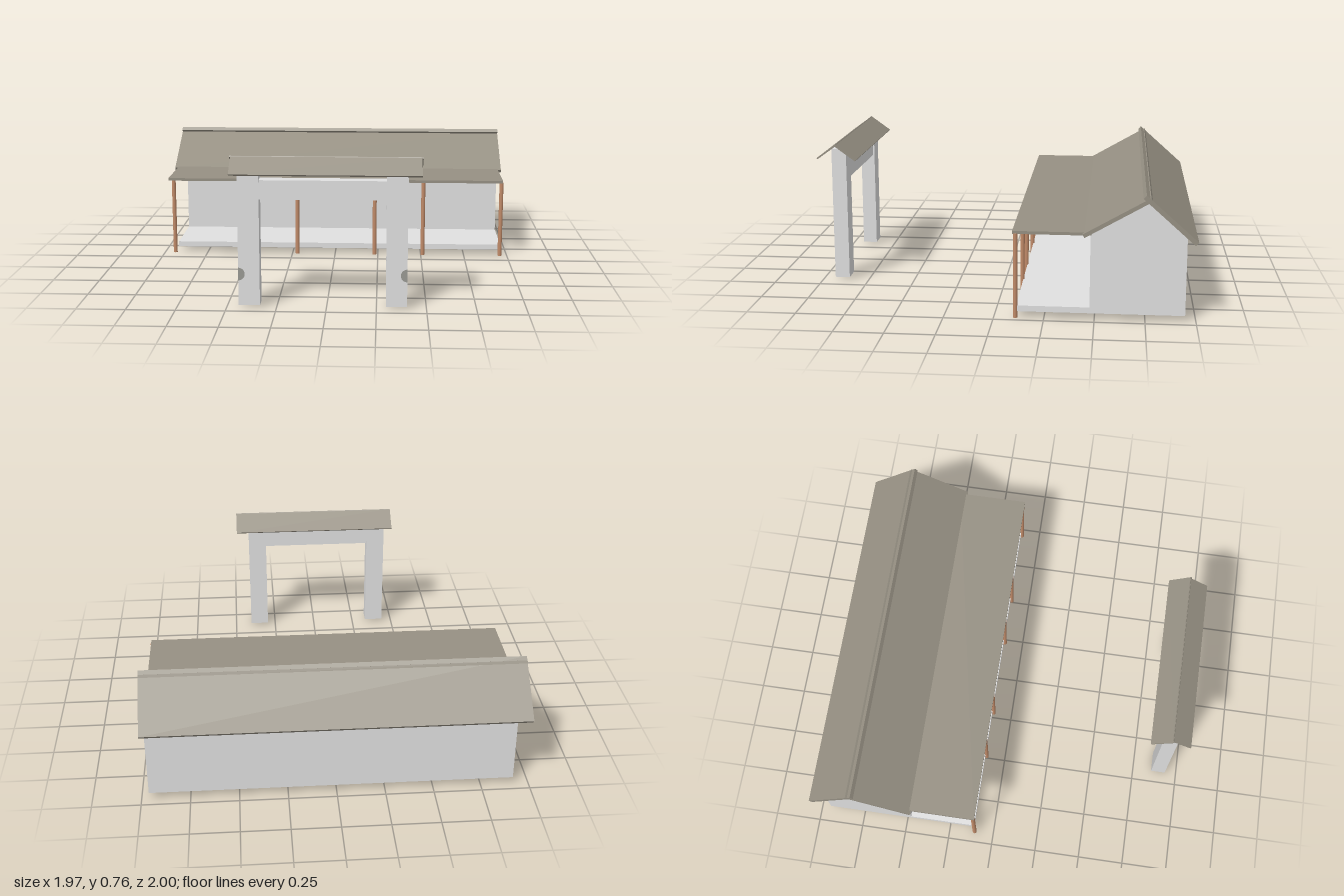
import * as THREE from 'three';

export function createModel() {
  const model = new THREE.Group();
  const mat = (name, color, side = THREE.FrontSide) => {
    const m = new THREE.MeshStandardMaterial({ color, side });
    m.name = name;
    return m;
  };
  const plaster = mat('plaster', 0xe0e0e0);
  const roofing = mat('roofing', 0x969083);
  const timber = mat('timber', 0xc08a68);
  const stain = mat('dark patch', 0x9a9a94);

  const add = (name, geometry, material, parent = model) => {
    const mesh = new THREE.Mesh(geometry, material);
    mesh.name = name;
    parent.add(mesh);
    return mesh;
  };

  // Box given by its limits on each axis
  const box = (name, [x0, x1], [y0, y1], [z0, z1], material, parent) => {
    const mesh = add(name, new THREE.BoxGeometry(x1 - x0, y1 - y0, z1 - z0), material, parent);
    mesh.position.set((x0 + x1) / 2, (y0 + y1) / 2, (z0 + z1) / 2);
    return mesh;
  };

  // Prism along x from a [z, y] outline
  const prism = (name, outline, x0, x1, material, parent) => {
    const shape = new THREE.Shape(outline.map(([z, y]) => new THREE.Vector2(-z, y)));
    const g = new THREE.ExtrudeGeometry(shape, { depth: x1 - x0, bevelEnabled: false });
    g.rotateY(Math.PI / 2).translate(x0, 0, 0);
    return add(name, g, material, parent);
  };

  // Sloping roof slab: its top line runs between two [z, y] points, thickness goes below
  const slab = (name, a, b, thickness, x0, x1, parent) => {
    const dz = b[0] - a[0], dy = b[1] - a[1], len = Math.hypot(dz, dy);
    let n = [-dy / len, dz / len];
    if (n[1] > 0) n = [-n[0], -n[1]];
    const under = ([z, y]) => [z + n[0] * thickness, y + n[1] * thickness];
    return prism(name, [a, b, under(b), under(a)], x0, x1, roofing, parent);
  };

  // House: gabled body, deck and roofs
  const house = new THREE.Group();
  house.name = 'house';
  model.add(house);
  const left = 0.962, right = -0.92;
  prism('houseBody', [[-0.476, 0.033], [-0.476, 0.435], [-0.753, 0.603], [-0.946, 0.432], [-0.946, 0.033]],
    right, left, plaster, house);
  box('porchDeck', [right, left], [0.033, 0.063], [-0.476, -0.112], plaster, house);
  slab('frontRoofSlope', [-0.437, 0.441], [-0.765, 0.629], 0.02, -0.988, 0.985, house);
  slab('backRoofSlope', [-0.743, 0.642], [-1.0, 0.413], 0.023, -0.988, 0.985, house);
  box('porchRoof', [-0.968, 0.965], [0.431, 0.446], [-0.48, -0.092], roofing, house);

  // Porch posts
  for (const x of [-0.94, -0.49, -0.22, 0.23, 0.51, 0.958]) {
    const post = add('porchPost', new THREE.CylinderGeometry(0.0115, 0.0115, 0.433, 16), timber, house);
    post.position.set(x, 0.2165, -0.107);
  }

  // Gate: two pillars, a lintel and a small pitched roof
  const gate = new THREE.Group();
  gate.name = 'gate';
  model.add(gate);
  for (const [x0, x1, outer] of [[-0.44, -0.333, -1], [0.297, 0.403, 1]]) {
    box('gatePillar', [x0, x1], [0.012, 0.73], [0.856, 0.935], plaster, gate);
    // Dark half round patch on the outer edge of the front face
    const start = outer < 0 ? -Math.PI / 2 : Math.PI / 2;
    const patch = add('pillarPatch', new THREE.CircleGeometry(0.033, 20, start, Math.PI), stain, gate);
    patch.position.set(outer < 0 ? x0 : x1, 0.173, 0.937);
  }
  box('gateLintel', [-0.333, 0.297], [0.553, 0.65], [0.865, 0.93], plaster, gate);
  slab('gateRoofFront', [0.897, 0.765], [1.0, 0.691], 0.008, -0.474, 0.469, gate);
  slab('gateRoofBack', [0.899, 0.765], [0.787, 0.684], 0.008, -0.48, 0.475, gate);

  // Flip any prism whose outline was wound backwards is unnecessary: shapes are re-ordered on extrusion
  return model;
}
